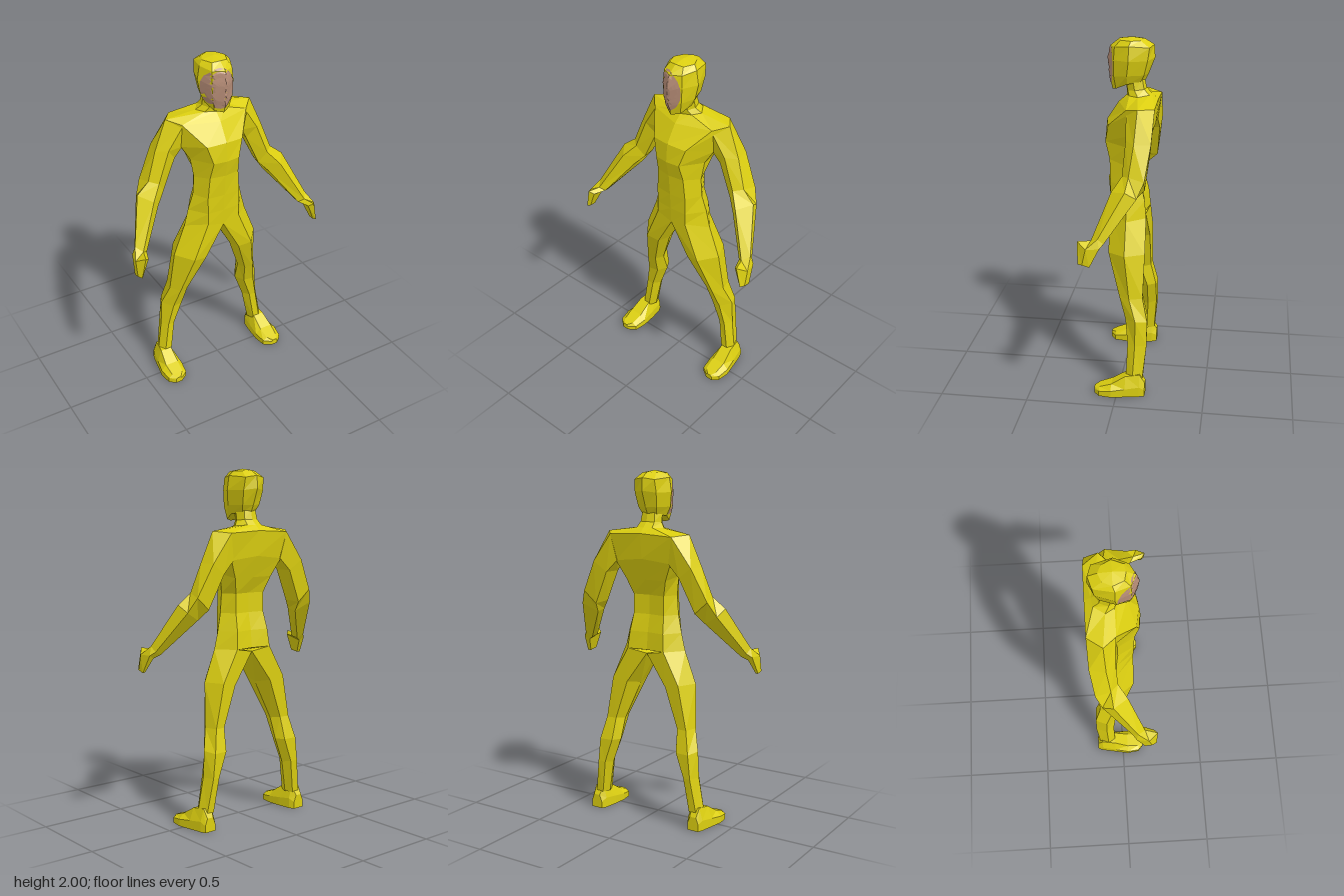
import * as THREE from 'three';

const yellow = new THREE.MeshStandardMaterial({ color: 0xdccf10, flatShading: true });
yellow.name = 'suitYellow';
const pink = new THREE.MeshStandardMaterial({ color: 0xb88e78, flatShading: true });
pink.name = 'faceSkin';

// Skin a closed solid over rings of [x, y, z] points; capTop and capBottom lift the end centres.
function loft(name, rings, capBottom = 0, capTop = 0) {
  const n = rings[0].length, tris = [];
  for (let r = 0; r + 1 < rings.length; r++) {
    for (let i = 0; i < n; i++) {
      const j = (i + 1) % n;
      const a = rings[r][i], b = rings[r][j], c = rings[r + 1][j], d = rings[r + 1][i];
      tris.push([a, b, c], [a, c, d]);
    }
  }
  const cap = (ring, lift, flip) => {
    const c = [0, 1, 2].map(k => ring.reduce((s, p) => s + p[k], 0) / n);
    c[1] += lift;
    ring.forEach((p, i) => {
      const q = ring[(i + 1) % n];
      tris.push(flip ? [c, q, p] : [c, p, q]);
    });
  };
  cap(rings[0], capBottom, true);
  cap(rings.at(-1), capTop, false);

  // Turn all faces outward using the enclosed volume.
  const V = p => new THREE.Vector3(...p);
  const volume = tris.reduce((s, [a, b, c]) => s + V(a).dot(V(b).cross(V(c))), 0);
  if (volume < 0) tris.forEach(t => t.reverse());

  const geo = new THREE.BufferGeometry();
  geo.setAttribute('position', new THREE.Float32BufferAttribute(tris.flat(2), 3));
  geo.computeVertexNormals();
  const mesh = new THREE.Mesh(geo, yellow);
  mesh.name = name;
  return mesh;
}

// Complete a half ring (front centre, front, side, back, back centre) by mirroring it.
const whole = half => [...half, ...half.slice(1, -1).reverse().map(([x, y, z]) => [-x, y, z])];
const mirrorX = rings => rings.map(r => r.map(([x, y, z]) => [-x, y, z]));

const neckBase = [[0, 1.68, -0.01], [0.06, 1.685, -0.03], [0.09, 1.685, -0.08], [0.05, 1.69, -0.14], [0, 1.69, -0.15]];

// Torso from hips to neck base
const torso = [
  [[0, 1.0, 0.07], [0.1, 1.03, 0.07], [0.2, 1.0, -0.03], [0.12, 1.0, -0.135], [0, 1.0, -0.12]],
  [[0, 1.1, 0.075], [0.1, 1.1, 0.07], [0.175, 1.1, -0.03], [0.11, 1.1, -0.125], [0, 1.1, -0.11]],
  [[0, 1.2, 0.08], [0.1, 1.2, 0.07], [0.148, 1.2, -0.02], [0.1, 1.2, -0.1], [0, 1.2, -0.09]],
  [[0, 1.33, 0.09], [0.09, 1.33, 0.075], [0.14, 1.31, -0.02], [0.1, 1.31, -0.1], [0, 1.31, -0.09]],
  [[0, 1.43, 0.11], [0.08, 1.43, 0.1], [0.155, 1.42, -0.03], [0.13, 1.4, -0.13], [0, 1.4, -0.13]],
  [[0, 1.54, 0.1], [0.11, 1.53, 0.08], [0.2, 1.5, -0.05], [0.18, 1.5, -0.16], [0, 1.52, -0.17]],
  [[0, 1.64, 0.035], [0.2, 1.64, -0.03], [0.265, 1.66, -0.1], [0.2, 1.65, -0.185], [0, 1.66, -0.185]],
  neckBase,
];

const neck = [
  neckBase,
  [[0, 1.71, -0.01], [0.04, 1.71, -0.02], [0.062, 1.715, -0.06], [0.045, 1.72, -0.11], [0, 1.72, -0.12]],
  [[0, 1.76, 0], [0.035, 1.76, -0.01], [0.06, 1.77, -0.05], [0.04, 1.77, -0.1], [0, 1.77, -0.11]],
];

// Head from chin to crown
const head = [
  [[0, 1.71, 0.07], [0.045, 1.72, 0.045], [0.068, 1.75, -0.02], [0.045, 1.76, -0.09], [0, 1.76, -0.11]],
  [[0, 1.78, 0.085], [0.06, 1.79, 0.055], [0.092, 1.8, -0.02], [0.06, 1.8, -0.11], [0, 1.8, -0.13]],
  [[0, 1.88, 0.095], [0.065, 1.88, 0.055], [0.105, 1.88, -0.03], [0.07, 1.88, -0.13], [0, 1.89, -0.165]],
  [[0, 1.95, 0.08], [0.06, 1.95, 0.05], [0.092, 1.96, -0.03], [0.065, 1.95, -0.14], [0, 1.96, -0.16]],
  [[0, 1.99, 0.03], [0.045, 1.985, 0.02], [0.07, 1.985, -0.04], [0.045, 1.985, -0.09], [0, 1.99, -0.11]],
];

// Arm rings: front, outer, back, inner back, inner front
const arm = [
  [[0.19, 1.64, -0.03], [0.265, 1.66, -0.1], [0.2, 1.65, -0.185], [0.17, 1.5, -0.165], [0.19, 1.5, -0.05]],
  [[0.28, 1.5, -0.04], [0.338, 1.49, -0.09], [0.32, 1.49, -0.18], [0.24, 1.43, -0.17], [0.23, 1.43, -0.07]],
  [[0.35, 1.32, -0.03], [0.395, 1.33, -0.07], [0.41, 1.31, -0.155], [0.33, 1.24, -0.15], [0.31, 1.25, -0.06]],
  [[0.41, 1.25, 0.02], [0.47, 1.27, -0.06], [0.45, 1.23, -0.12], [0.36, 1.18, -0.09], [0.365, 1.19, -0.02]],
  [[0.53, 1.02, 0.11], [0.56, 1.04, 0.07], [0.55, 1.01, 0.04], [0.51, 0.99, 0.05], [0.5, 1.0, 0.09]],
];
const hand = [
  arm[4],
  [[0.55, 1.02, 0.18], [0.588, 0.99, 0.13], [0.575, 0.99, 0.06], [0.545, 0.97, 0.07], [0.525, 1.0, 0.16]],
  [[0.575, 0.9, 0.175], [0.588, 0.9, 0.15], [0.588, 0.89, 0.11], [0.57, 0.89, 0.115], [0.562, 0.9, 0.16]],
];

// Leg rings: front inner, front outer, outer, back outer, back inner, inner
const leg = [
  [[0, 1.0, 0.07], [0.1, 1.03, 0.07], [0.2, 1.0, -0.03], [0.12, 1.0, -0.135], [0, 0.98, -0.12], [0, 0.96, -0.03]],
  [[0.11, 0.8, 0.06], [0.19, 0.81, 0.07], [0.27, 0.82, -0.03], [0.22, 0.82, -0.14], [0.13, 0.8, -0.13], [0.1, 0.78, -0.03]],
  [[0.2, 0.57, -0.01], [0.25, 0.57, 0], [0.29, 0.57, -0.06], [0.27, 0.57, -0.135], [0.21, 0.57, -0.13], [0.185, 0.56, -0.07]],
  [[0.22, 0.44, -0.05], [0.28, 0.44, -0.04], [0.33, 0.45, -0.1], [0.3, 0.44, -0.165], [0.22, 0.44, -0.16], [0.19, 0.44, -0.11]],
  [[0.27, 0.3, -0.06], [0.31, 0.3, -0.055], [0.337, 0.3, -0.1], [0.315, 0.3, -0.165], [0.27, 0.3, -0.16], [0.245, 0.29, -0.11]],
  [[0.3, 0.1, -0.05], [0.34, 0.1, -0.05], [0.368, 0.1, -0.09], [0.345, 0.1, -0.145], [0.3, 0.1, -0.145], [0.28, 0.1, -0.1]],
];

// Foot sections from heel to toe: z, inner x, outer x, side height, top height
const foot = [
  [-0.16, 0.3, 0.37, 0.04, 0.08],
  [-0.13, 0.285, 0.38, 0.06, 0.13],
  [-0.05, 0.275, 0.395, 0.05, 0.12],
  [0.03, 0.27, 0.41, 0.04, 0.07],
  [0.1, 0.28, 0.4, 0.03, 0.045],
  [0.13, 0.325, 0.365, 0.025, 0.035],
].map(([z, a, b, side, top]) => {
  const inset = (b - a) * 0.22;
  return [[a, 0, z], [b, 0, z], [b, side, z], [b - inset, top, z], [a + inset, top, z], [a, side, z]];
});

// Thin oval patch laid over the front of the head
function facePatch(headMesh) {
  const ray = new THREE.Raycaster(), steps = 20, bands = 5;
  const at = (band, i) => {
    const t = (i / steps) * Math.PI * 2, r = band / bands;
    const x = -0.02 + 0.081 * r * Math.cos(t), y = 1.85 + 0.115 * r * Math.sin(t);
    for (let s = 1; s > 0.5; s -= 0.03) {
      ray.set(new THREE.Vector3(x * s, y, 1), new THREE.Vector3(0, 0, -1));
      const hit = ray.intersectObject(headMesh)[0];
      if (hit) return [x * s, y, hit.point.z + 0.004];
    }
    return [x, y, 0];
  };
  const pos = [];
  for (let b = 0; b < bands; b++) {
    for (let i = 0; i < steps; i++) {
      const p = at(b, i), q = at(b + 1, i), r = at(b + 1, i + 1), s = at(b, i + 1);
      pos.push(...p, ...q, ...r);
      if (b > 0) pos.push(...p, ...r, ...s);
    }
  }
  const geo = new THREE.BufferGeometry();
  geo.setAttribute('position', new THREE.Float32BufferAttribute(pos, 3));
  geo.computeVertexNormals();
  const mesh = new THREE.Mesh(geo, pink);
  mesh.name = 'face';
  return mesh;
}

export function createModel() {
  const model = new THREE.Group();
  model.name = 'standingFigure';
  const headMesh = loft('head', head.map(whole), 0, 0.012);
  model.add(loft('torso', torso.map(whole), -0.03), loft('neck', neck.map(whole)), headMesh, facePatch(headMesh));

  // Limbs on both sides
  for (const [name, rings] of Object.entries({ Arm: arm, Hand: hand, Leg: leg, Foot: foot })) {
    model.add(loft('left' + name, rings), loft('right' + name, mirrorX(rings)));
  }
  return model;
}
